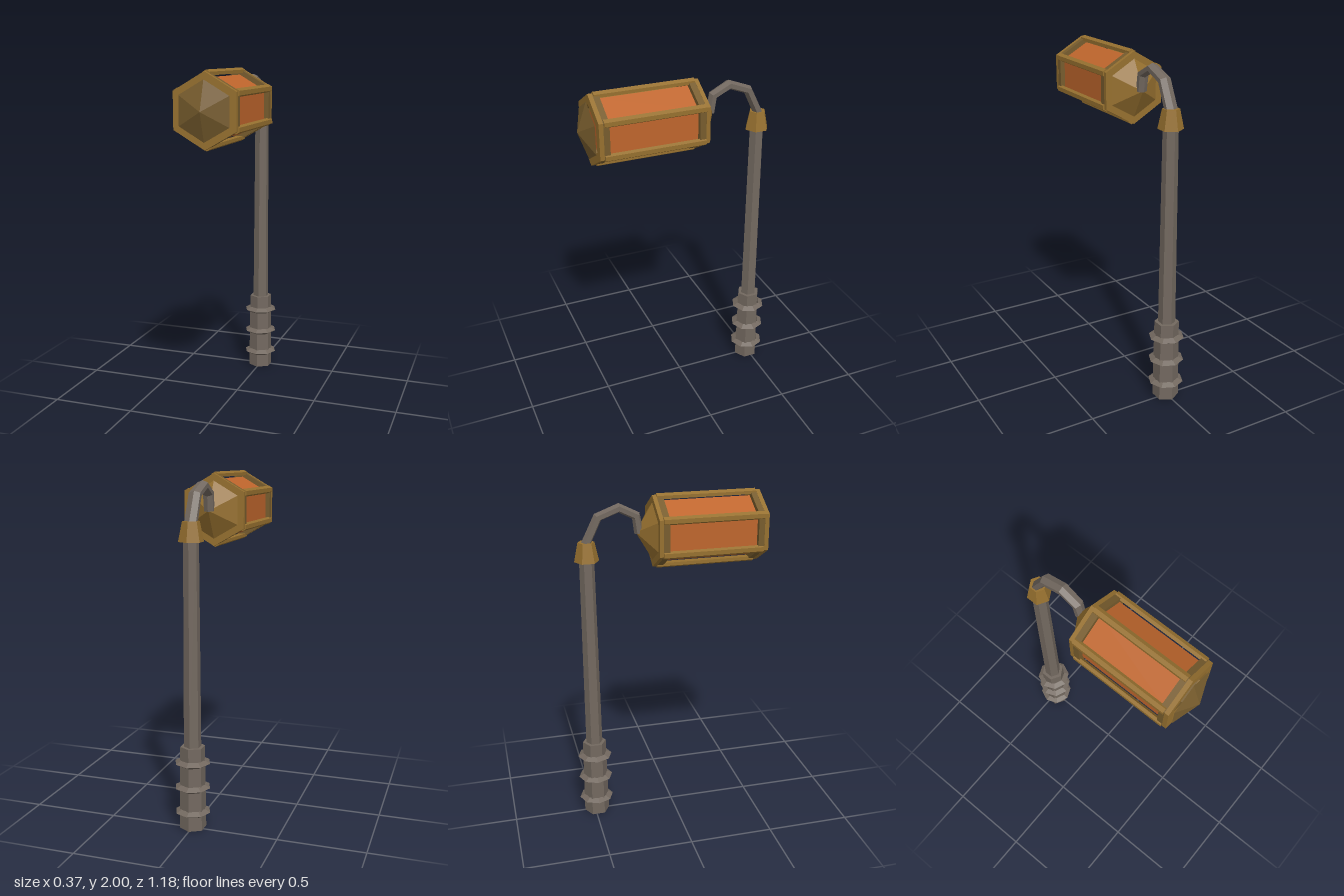
import * as THREE from 'three';

const mat = (name, color) => {
  const m = new THREE.MeshStandardMaterial({ color, flatShading: true });
  m.name = name;
  return m;
};

// Sweep a tapering six-sided section along a path of [z, y, half width]
function sweepHex(path, depth) {
  const pos = [], idx = [], n = path.length;
  path.forEach(([z, y, width], i) => {
    const a = path[Math.max(i - 1, 0)], b = path[Math.min(i + 1, n - 1)];
    const len = Math.hypot(b[0] - a[0], b[1] - a[1]);
    const nz = -(b[1] - a[1]) / len, ny = (b[0] - a[0]) / len;
    for (let k = 0; k < 6; k++) {
      const t = k * Math.PI / 3, c = Math.cos(t) * depth;
      pos.push(Math.sin(t) * width, y + ny * c, z + nz * c);
    }
  });
  for (let i = 0; i < n - 1; i++) {
    for (let k = 0; k < 6; k++) {
      const a = i * 6 + k, b = i * 6 + (k + 1) % 6;
      idx.push(a, a + 6, b, b, a + 6, b + 6);
    }
  }
  const e = (n - 1) * 6;
  for (let k = 1; k < 5; k++) idx.push(0, k, k + 1, e, e + k + 1, e + k);
  const g = new THREE.BufferGeometry();
  g.setAttribute('position', new THREE.Float32BufferAttribute(pos, 3));
  g.setIndex(idx);
  const flat = g.toNonIndexed();
  flat.computeVertexNormals();
  return flat;
}

// Hexagon outline with a corner pointing up
const hexPoints = (r) => Array.from({ length: 6 }, (_, i) => {
  const a = Math.PI / 2 + i * Math.PI / 3;
  return new THREE.Vector2(Math.cos(a) * r, Math.sin(a) * r);
});

function hexRing(outer, inner, z0, z1) {
  const s = new THREE.Shape(hexPoints(outer));
  s.holes.push(new THREE.Path(hexPoints(inner)));
  return new THREE.ExtrudeGeometry(s, { depth: z1 - z0, bevelEnabled: false }).translate(0, 0, z0);
}

export function createModel() {
  const iron = mat('dark iron', 0x72685f);
  const brass = mat('aged brass', 0x96702f);
  const bronze = mat('dark bronze', 0x775c2d);
  const glass = mat('amber glass', 0xbe652c);

  const model = new THREE.Group();
  model.name = 'streetLantern';
  const add = (parent, name, geo, material, x = 0, y = 0, z = 0) => {
    const m = new THREE.Mesh(geo, material);
    m.name = name;
    m.position.set(x, y, z);
    parent.add(m);
    return m;
  };

  // Post: base sleeve, shaft, three sharp-edged rings and a collar
  const post = new THREE.Group();
  post.name = 'post';
  post.position.z = -0.488;
  model.add(post);
  add(post, 'postBase', new THREE.CylinderGeometry(0.071, 0.077, 0.49, 6), iron, 0, 0.245);
  add(post, 'postShaft', new THREE.CylinderGeometry(0.043, 0.05, 1.2, 6), iron, 0, 1.08);
  const ringGeo = new THREE.TorusGeometry(0.083, 0.021, 3, 8).rotateX(Math.PI / 2);
  for (const y of [0.1, 0.248, 0.395]) add(post, 'postRing', ringGeo, iron, 0, y);
  add(post, 'postCollar', new THREE.CylinderGeometry(0.048, 0.071, 0.11, 6), brass, 0, 1.695);

  // Curved arm from the collar to the lantern
  const path = [
    [-0.492, 1.735, 0.039], [-0.418, 1.887, 0.038], [-0.299, 1.932, 0.036],
    [-0.202, 1.883, 0.033], [-0.186, 1.785, 0.031],
  ];
  add(model, 'arm', sweepHex(path, 0.027), iron);

  // Six-sided lantern lying along z
  const lantern = new THREE.Group();
  lantern.name = 'lantern';
  lantern.position.y = 1.786;
  model.add(lantern);
  add(lantern, 'glassPanes',
    new THREE.CylinderGeometry(0.174, 0.174, 0.54, 6).rotateX(Math.PI / 2), glass, 0, 0, 0.21);
  add(lantern, 'frontFrame', hexRing(0.206, 0.15, 0.466, 0.5), bronze);
  add(lantern, 'frontRim', hexRing(0.207, 0.15, 0.5, 0.525), brass);
  add(lantern, 'backFrame', hexRing(0.206, 0.15, -0.085, -0.048), bronze);
  add(lantern, 'backRim', hexRing(0.207, 0.15, -0.108, -0.085), brass);

  // Corner bars with a ridge following each hexagon corner
  const bar = new THREE.Shape([[0, 0.215], [-0.021, 0.203], [-0.021, 0.184], [0.021, 0.184], [0.021, 0.203]]
    .map(([x, y]) => new THREE.Vector2(x, y)));
  const barGeo = new THREE.ExtrudeGeometry(bar, { depth: 0.58, bevelEnabled: false }).translate(0, 0, -0.084);
  for (let i = 0; i < 6; i++) {
    add(lantern, 'cornerBar', barGeo, brass).rotation.z = i * Math.PI / 3;
  }

  // Pyramid caps at both ends
  add(lantern, 'frontCap',
    new THREE.ConeGeometry(0.165, 0.058, 6).rotateX(Math.PI / 2), bronze, 0, 0, 0.564);
  add(lantern, 'backCap',
    new THREE.ConeGeometry(0.167, 0.097, 6).rotateX(-Math.PI / 2), brass, 0, 0, -0.155);

  return model;
}
